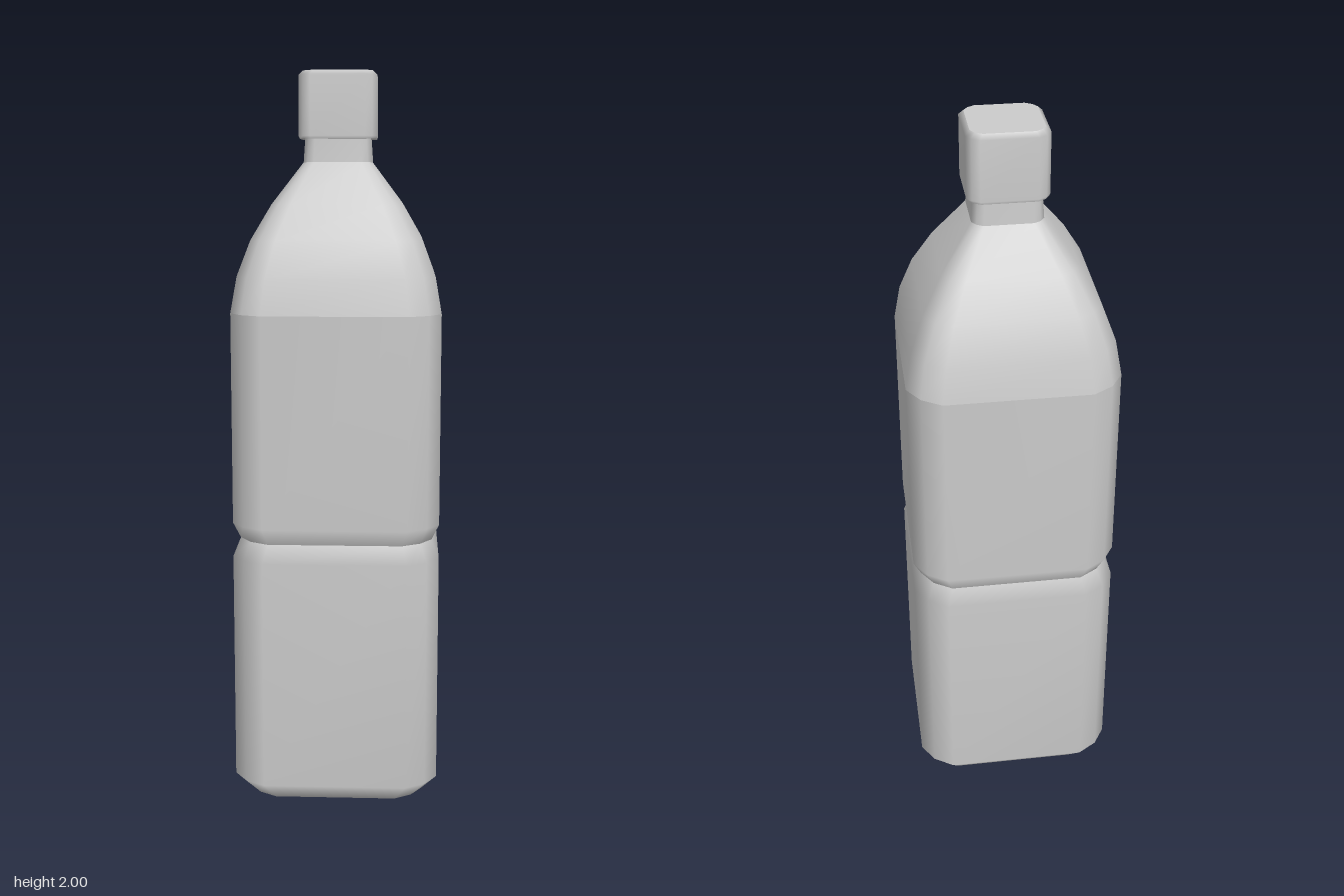
import * as THREE from 'three';

// Diamond cross-section of unit radius with each corner rounded by three points
const SECTION = [];
for (let k = 0; k < 4; k++) {
  const c = Math.round(Math.cos(k * Math.PI / 2)), s = Math.round(Math.sin(k * Math.PI / 2));
  for (const [u, v] of [[0.96, -0.176], [1, 0], [0.96, 0.176]]) {
    SECTION.push([u * c - v * s, u * s + v * c]);
  }
}
const N = SECTION.length;

const material = new THREE.MeshStandardMaterial({ color: 0xcccccc });

function makeMesh(name, positions, index) {
  const geometry = new THREE.BufferGeometry();
  geometry.setAttribute('position', new THREE.Float32BufferAttribute(positions, 3));
  geometry.setIndex(index);
  geometry.computeVertexNormals();
  const mesh = new THREE.Mesh(geometry, material);
  mesh.name = name;
  return mesh;
}

// Smooth wall through a profile of [radius, height], listed upwards
function wall(name, profile) {
  const positions = [], index = [];
  for (const [r, y] of profile) {
    for (const [x, z] of SECTION) positions.push(x * r, y, z * r);
  }
  for (let j = 0; j < profile.length - 1; j++) {
    for (let i = 0; i < N; i++) {
      const a = j * N + i, b = j * N + (i + 1) % N;
      index.push(a, a + N, b, b, a + N, b + N);
    }
  }
  return makeMesh(name, positions, index);
}

// Flat end face, facing up or down
function endFace(name, r, y, up) {
  const positions = [0, y, 0], index = [];
  for (const [x, z] of SECTION) positions.push(x * r, y, z * r);
  for (let i = 0; i < N; i++) {
    const a = 1 + i, b = 1 + (i + 1) % N;
    index.push(0, up ? b : a, up ? a : b);
  }
  return makeMesh(name, positions, index);
}

export function createModel() {
  const bottle = new THREE.Group();
  bottle.name = 'bottle';

  // Body, split at the waist groove and shoulder line to keep those edges sharp
  bottle.add(
    endFace('base', 0.3, 0, false),
    wall('lowerBody', [[0.3, 0], [0.353, 0.05], [0.353, 0.685], [0.328, 0.735]]),
    wall('upperBody', [[0.328, 0.735], [0.353, 0.78], [0.353, 1.357]]),
    wall('shoulder', [[0.353, 1.357], [0.332, 1.455], [0.288, 1.55], [0.22, 1.645], [0.116, 1.757]]),
    wall('neck', [[0.116, 1.757], [0.11, 1.83]])
  );

  // Screw cap
  const cap = new THREE.Group();
  cap.name = 'cap';
  cap.add(
    endFace('capUnderside', 0.129, 1.82, false),
    wall('capSide', [[0.129, 1.82], [0.132, 1.827], [0.132, 1.988], [0.117, 2]]),
    endFace('capTop', 0.117, 2, true)
  );
  bottle.add(cap);
  return bottle;
}
